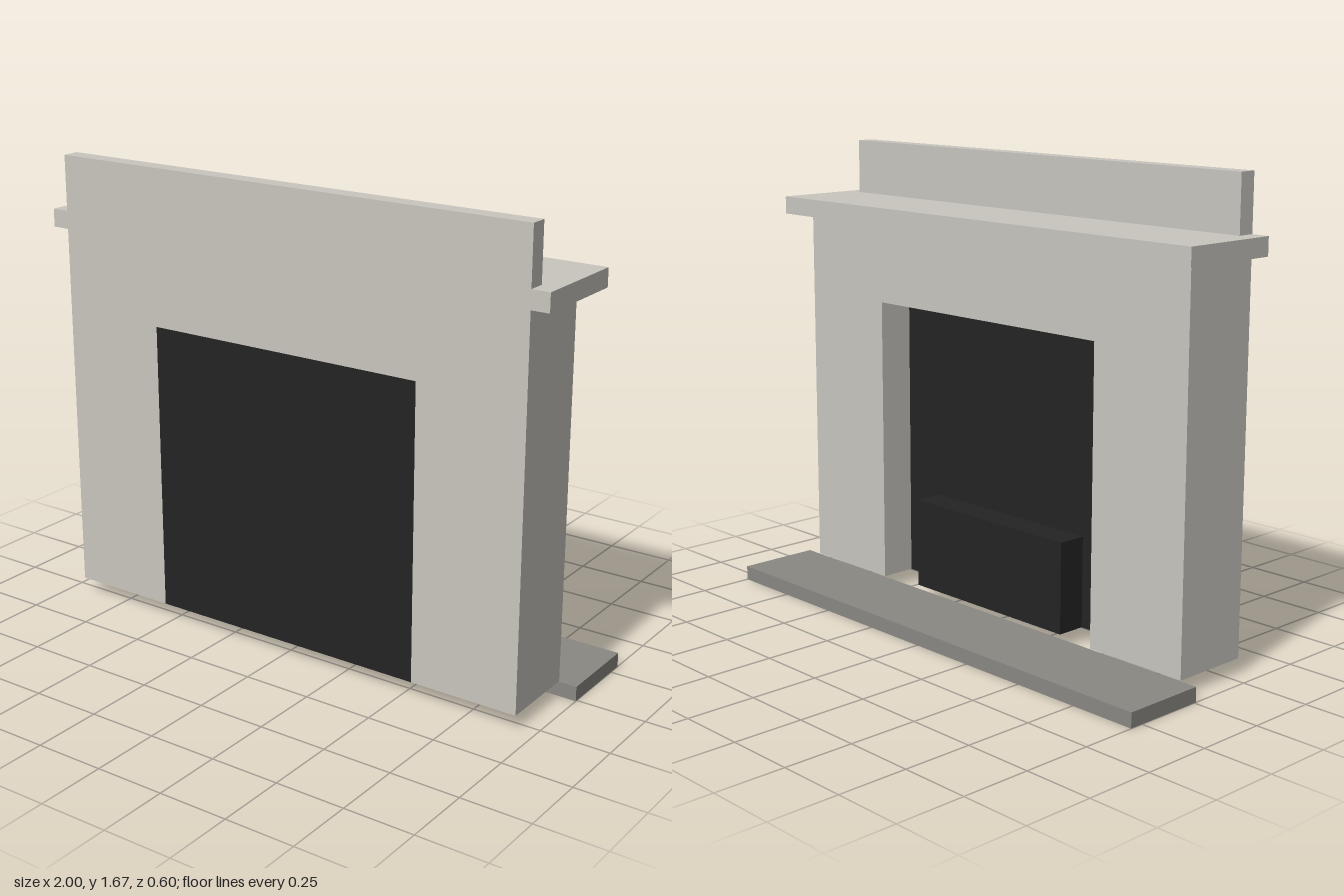
import * as THREE from 'three';

const material = (color) =>
  new THREE.MeshStandardMaterial({ color, flatShading: true, side: THREE.DoubleSide });

// Removes the faces lying on the lowest plane, leaving a shell open underneath
function openBottom(geometry) {
  const g = geometry.index ? geometry.toNonIndexed() : geometry;
  g.computeBoundingBox();
  const low = g.boundingBox.min.y + 1e-4;
  const p = g.attributes.position;
  const kept = [];
  for (let i = 0; i < p.count; i += 3) {
    if ([0, 1, 2].every((k) => p.getY(i + k) < low)) continue;
    for (let k = 0; k < 3; k++) kept.push(p.getX(i + k), p.getY(i + k), p.getZ(i + k));
  }
  const shell = new THREE.BufferGeometry();
  shell.setAttribute('position', new THREE.Float32BufferAttribute(kept, 3));
  shell.computeVertexNormals();
  return shell;
}

// Box centred on x, spanning the given y and z ranges
function box(halfWidth, y0, y1, z0, z1) {
  return new THREE.BoxGeometry(2 * halfWidth, y1 - y0, z1 - z0)
    .translate(0, (y0 + y1) / 2, (z0 + z1) / 2);
}

export function createModel() {
  const group = new THREE.Group();
  const stone = material(0xc9c6bf);
  const slate = material(0x8a8883);
  const soot = material(0x242424);

  const add = (name, geometry, mat) => {
    const mesh = new THREE.Mesh(geometry, mat);
    mesh.name = name;
    group.add(mesh);
  };

  const base = 0.055, bodyTop = 1.405, shelfTop = 1.47;
  const bodyHalf = 0.935, openHalf = 0.535, openTop = 1.11;
  const face = 0.007, wall = 0.3, fireback = 0.14;

  // Surround: an arch of two legs and a header, open underneath
  const outline = new THREE.Shape([
    [-bodyHalf, base], [-openHalf, base], [-openHalf, openTop], [openHalf, openTop],
    [openHalf, base], [bodyHalf, base], [bodyHalf, bodyTop], [-bodyHalf, bodyTop],
  ].map(([x, y]) => new THREE.Vector2(x, y)));
  const surround = new THREE.ExtrudeGeometry(outline, { depth: wall - face, bevelEnabled: false });
  add('surround', openBottom(surround.translate(0, 0, face)), stone);

  // Mantel shelf and the upstand along the wall
  add('mantelShelf', box(1, bodyTop, shelfTop, -0.072, wall), stone);
  add('mantelUpstand', box(bodyHalf, shelfTop, 1.67, 0.237, wall), stone);

  // Dark panels closing the opening, inside and at the wall
  for (const [name, z] of [['fireback', fireback], ['wallPanel', wall]]) {
    const panel = new THREE.PlaneGeometry(2 * openHalf, openTop - base);
    if (name === 'fireback') panel.rotateY(Math.PI);
    add(name, panel.translate(0, (base + openTop) / 2, z), soot);
  }

  // Fire box standing against the fireback
  add('fireBox', openBottom(box(0.37, base, 0.385, 0.032, fireback)), soot);

  // Hearth slab, hollow underneath
  add('hearth', openBottom(box(1, 0, 0.053, -0.3, face)), slate);

  return group;
}
